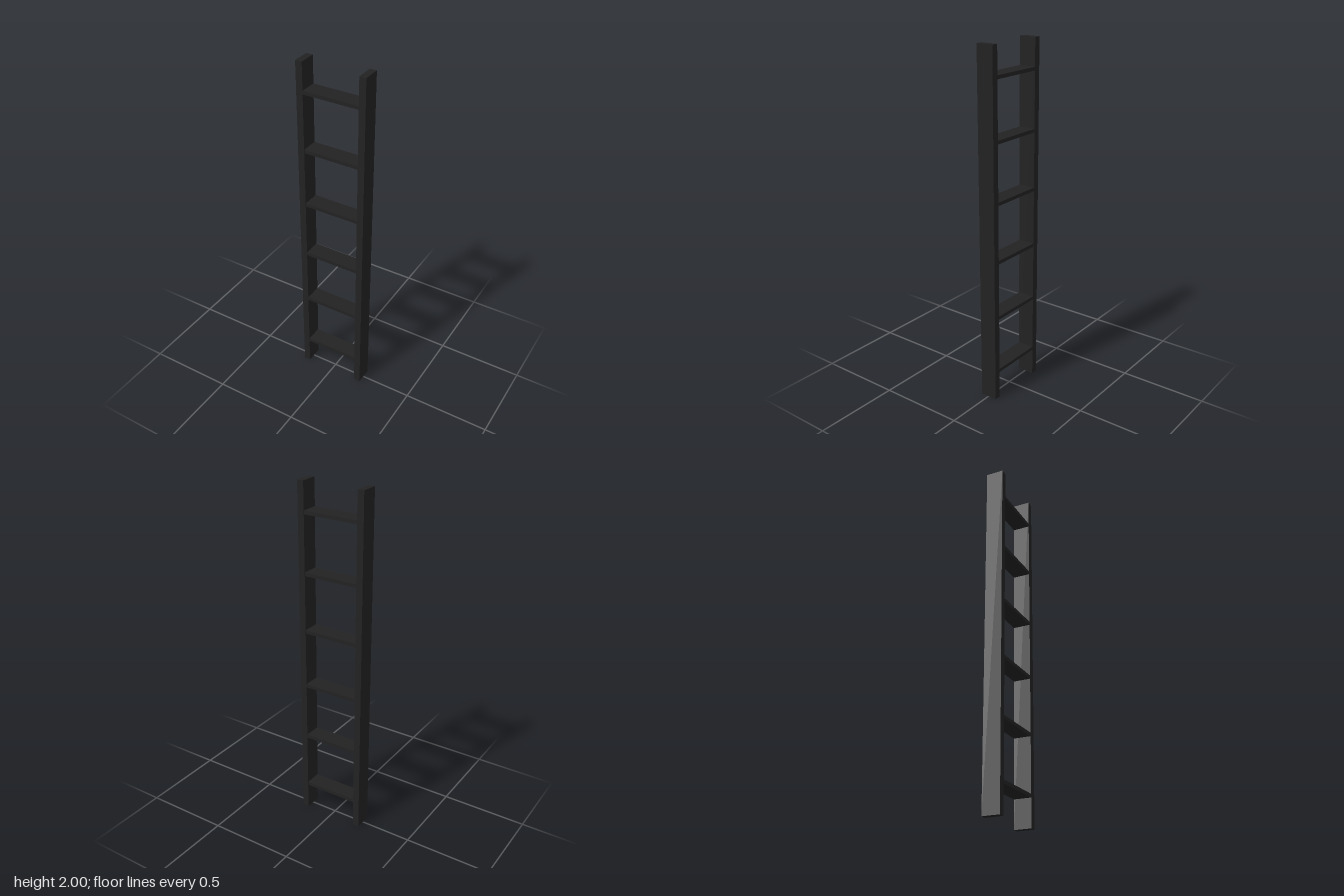
import * as THREE from 'three';

export function createModel() {
  const ladder = new THREE.Group();
  ladder.name = 'ladder';
  const charcoal = new THREE.MeshStandardMaterial({ color: 0x222222 });
  charcoal.name = 'charcoal';

  function addBox(name, w, h, d, x, y) {
    const mesh = new THREE.Mesh(new THREE.BoxGeometry(w, h, d), charcoal);
    mesh.name = name;
    mesh.position.set(x, y, 0);
    ladder.add(mesh);
  }

  // Side rails
  addBox('leftRail', 0.038, 2, 0.1, 0.179, 1);
  addBox('rightRail', 0.038, 2, 0.1, -0.179, 1);

  // Six evenly spaced flat rungs, butted between the rails
  const rungs = 6;
  for (let i = 0; i < rungs; i++) {
    addBox(`rung${i + 1}`, 0.322, 0.02, 0.098, 0, (2 / rungs) * (i + 0.5) + 0.003);
  }

  // Very slight lean of the whole ladder towards the front
  const lean = 0.0025;
  ladder.rotation.x = lean;
  ladder.position.z = -Math.sin(lean);

  const model = new THREE.Group();
  model.name = 'ladderModel';
  model.add(ladder);
  return model;
}
